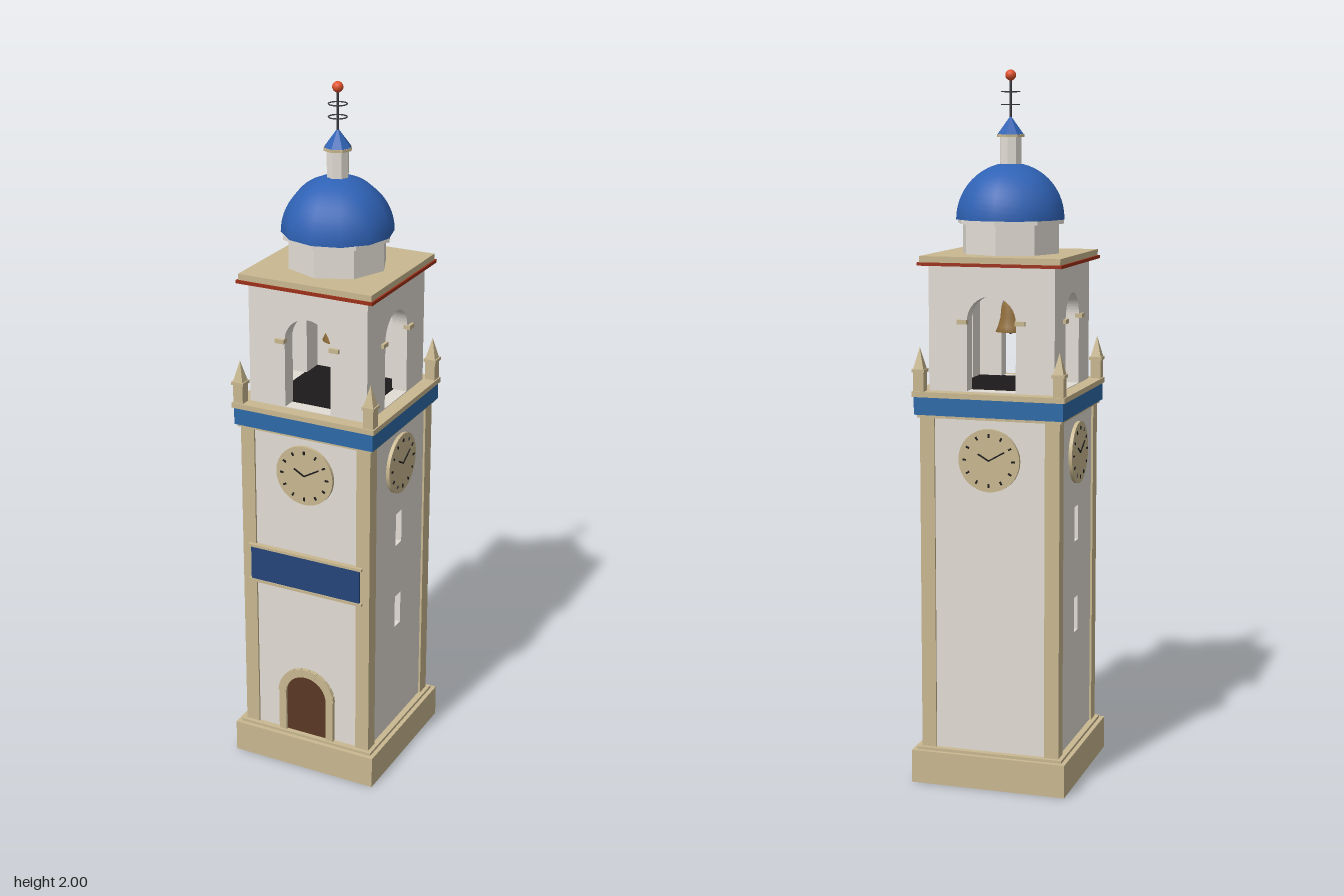
import * as THREE from 'three';

const mat = (color, flat = false, side = THREE.FrontSide) =>
  new THREE.MeshStandardMaterial({ color, flatShading: flat, side });
const WALL = mat(0xe2ddd5, true), WALL_SMOOTH = mat(0xe2ddd5), STONE = mat(0xc9b890, true), STONE_SMOOTH = mat(0xc9b890);
const DOME = mat(0x2f62b5), ROOF = mat(0x2f62b5, true), BAND = mat(0x2d6aa8), SIGN = mat(0x24447a);
const DARK = mat(0x1c1a1a), DOOR = mat(0x5a3824), RED = mat(0x9c3018);
const BALL = mat(0xe0522c), BRONZE = mat(0x8f6d3a, false, THREE.DoubleSide), IRON = mat(0x3a3a40);

function add(parent, name, geometry, material, x = 0, y = 0, z = 0) {
  const mesh = new THREE.Mesh(geometry, material);
  mesh.name = name;
  mesh.position.set(x, y, z);
  parent.add(mesh);
  return mesh;
}

// Box given by its bottom and top heights
const slab = (parent, name, w, y0, y1, d, material, x = 0, z = 0) =>
  add(parent, name, new THREE.BoxGeometry(w, y1 - y0, d), material, x, (y0 + y1) / 2, z);

const cyl = (parent, name, rTop, rBottom, y0, y1, sides, material, x = 0, z = 0) =>
  add(parent, name, new THREE.CylinderGeometry(rTop, rBottom, y1 - y0, sides), material, x, (y0 + y1) / 2, z);

// Round-headed opening outline
function arch(Type, r, y0, spring) {
  const s = new Type();
  s.moveTo(-r, y0);
  s.lineTo(r, y0);
  s.lineTo(r, spring);
  s.absarc(0, spring, r, 0, Math.PI, false);
  s.lineTo(-r, y0);
  return s;
}

function rect(Type, x0, y0, x1, y1) {
  const s = new Type();
  s.moveTo(x0, y0);
  s.lineTo(x1, y0);
  s.lineTo(x1, y1);
  s.lineTo(x0, y1);
  s.closePath();
  return s;
}

const extrude = (shape, depth) =>
  new THREE.ExtrudeGeometry(shape, { depth, bevelEnabled: false, curveSegments: 14 });

// Clock face with hour marks and hands, looking along +z
function clock() {
  const g = new THREE.Group();
  g.name = 'clock';
  add(g, 'clockFace', new THREE.CylinderGeometry(0.088, 0.088, 0.012, 32), STONE_SMOOTH).rotation.x = Math.PI / 2;
  for (let i = 0; i < 12; i++) {
    const a = i * Math.PI / 6;
    add(g, 'hourMark', new THREE.BoxGeometry(0.005, 0.01, 0.003), DARK,
      Math.sin(a) * 0.07, Math.cos(a) * 0.07, 0.007).rotation.z = -a;
  }
  for (const [a, len] of [[-1.05, 0.036], [1.05, 0.052]]) {
    add(g, 'clockHand', new THREE.BoxGeometry(0.004, len, 0.003), DARK,
      Math.sin(a) * len / 2, Math.cos(a) * len / 2, 0.007).rotation.z = -a;
  }
  return g;
}

// One of the four sides of the tower, facing +z
function side(index) {
  const g = new THREE.Group();
  g.name = 'towerSide';
  const lateral = index % 2 === 1;

  // Shaft wall, with two slit windows on the lateral sides
  const wall = rect(THREE.Shape, -0.195, 0.095, 0.195, 1.06);
  if (lateral) {
    for (const [y0, y1] of [[0.42, 0.52], [0.685, 0.785]]) {
      wall.holes.push(rect(THREE.Path, -0.019, y0, 0.019, y1));
      slab(g, 'windowRecess', 0.05, y0 - 0.01, y1 + 0.01, 0.006, DARK, 0, 0.162);
    }
  }
  add(g, 'shaftWall', extrude(wall, 0.03), WALL, 0, 0, 0.165);

  const dial = clock();
  dial.position.set(0, 0.94, 0.199);
  g.add(dial);

  // Belfry wall with arch and impost blocks
  const upper = rect(THREE.Shape, -0.18, 1.12, 0.18, 1.475);
  upper.holes.push(arch(THREE.Path, 0.07, 1.127, 1.32));
  add(g, 'belfryWall', extrude(upper, 0.045), WALL_SMOOTH, 0, 0, 0.135);
  for (const s of [-1, 1])
    slab(g, 'impost', 0.028, 1.312, 1.324, 0.02, STONE, s * 0.083, 0.179);

  g.rotation.y = index * Math.PI / 2;
  return g;
}

function entrance() {
  const g = new THREE.Group();
  g.name = 'entrance';
  add(g, 'door', extrude(arch(THREE.Shape, 0.066, 0.1, 0.23), 0.004), DOOR, 0, 0, 0.194);
  const surround = arch(THREE.Shape, 0.088, 0.1, 0.23);
  surround.holes.push(arch(THREE.Path, 0.065, 0.1001, 0.23));
  add(g, 'doorSurround', extrude(surround, 0.012), STONE_SMOOTH, 0, 0, 0.194);
  // Arch stones
  for (let i = 0; i < 11; i++) {
    const a = (i + 0.5) * Math.PI / 11;
    add(g, 'archStone', new THREE.BoxGeometry(0.024, 0.02, 0.014), STONE,
      Math.cos(a) * 0.078, 0.23 + Math.sin(a) * 0.078, 0.2).rotation.z = a;
  }
  return g;
}

function bell() {
  const g = new THREE.Group();
  g.name = 'bell';
  const profile = [[0, 0.085], [0.02, 0.083], [0.026, 0.07], [0.029, 0.04], [0.036, 0.015], [0.043, 0], [0.036, 0.002], [0.024, 0.04], [0, 0.075]]
    .map(([x, y]) => new THREE.Vector2(x, y)).reverse();
  add(g, 'bellBody', new THREE.LatheGeometry(profile, 16), BRONZE, 0, 1.275, 0);
  cyl(g, 'bellHanger', 0.004, 0.004, 1.355, 1.475, 8, IRON);
  add(g, 'clapper', new THREE.SphereGeometry(0.009, 10, 8), IRON, 0, 1.277, 0);
  return g;
}

export function createModel() {
  const tower = new THREE.Group();
  tower.name = 'bellTower';

  // Plinth
  slab(tower, 'plinth', 0.45, 0, 0.095, 0.45, STONE);
  slab(tower, 'plinthStep', 0.425, 0.09, 0.103, 0.425, STONE);

  for (let i = 0; i < 4; i++) tower.add(side(i));

  // Corner strips and pinnacles
  for (const x of [-1, 1]) for (const z of [-1, 1]) {
    slab(tower, 'cornerStrip', 0.042, 0.1, 1.058, 0.042, STONE, x * 0.18, z * 0.18);
    slab(tower, 'pinnacleBlock', 0.03, 1.12, 1.178, 0.03, STONE, x * 0.2, z * 0.2);
    slab(tower, 'pinnacleCap', 0.037, 1.178, 1.187, 0.037, STONE, x * 0.2, z * 0.2);
    cyl(tower, 'pinnacleSpire', 0, 0.021, 1.187, 1.247, 4, STONE, x * 0.2, z * 0.2).rotation.y = Math.PI / 4;
  }

  tower.add(entrance());

  // Front panel between two ledges
  slab(tower, 'signPanel', 0.344, 0.58, 0.692, 0.016, SIGN, 0, 0.2);
  for (const y of [0.58, 0.69]) slab(tower, 'signLedge', 0.36, y - 0.004, y + 0.004, 0.02, STONE, 0, 0.201);

  // Blue band and gallery floor
  slab(tower, 'bandLedge', 0.415, 1.052, 1.062, 0.415, STONE);
  slab(tower, 'blueBand', 0.428, 1.06, 1.11, 0.428, BAND);
  slab(tower, 'galleryLedge', 0.438, 1.11, 1.125, 0.438, STONE);
  slab(tower, 'belfryFloor', 0.28, 1.12, 1.129, 0.28, DARK);
  tower.add(bell());

  // Belfry cornice
  slab(tower, 'corniceTileEdge', 0.41, 1.471, 1.48, 0.41, RED);
  slab(tower, 'cornice', 0.4, 1.478, 1.497, 0.4, STONE);

  // Drum and dome
  cyl(tower, 'drum', 0.14, 0.14, 1.495, 1.585, 8, WALL);
  cyl(tower, 'drumLip', 0.155, 0.155, 1.58, 1.591, 8, WALL);
  add(tower, 'dome', new THREE.SphereGeometry(0.155, 12, 14, 0, Math.PI * 2, 0, Math.PI / 2), DOME, 0, 1.591, 0);

  // Lantern
  cyl(tower, 'lantern', 0.031, 0.031, 1.735, 1.82, 8, WALL);
  cyl(tower, 'lanternRim', 0.04, 0.04, 1.816, 1.824, 8, STONE);
  cyl(tower, 'lanternRoof', 0, 0.038, 1.824, 1.875, 8, ROOF);

  // Finial
  cyl(tower, 'finialRod', 0.0035, 0.0035, 1.86, 1.98, 8, IRON);
  for (const y of [1.905, 1.94])
    add(tower, 'finialRing', new THREE.TorusGeometry(0.025, 0.0018, 6, 24), IRON, 0, y, 0).rotation.x = Math.PI / 2;
  add(tower, 'finialBall', new THREE.SphereGeometry(0.015, 16, 12), BALL, 0, 1.985, 0);

  return tower;
}
